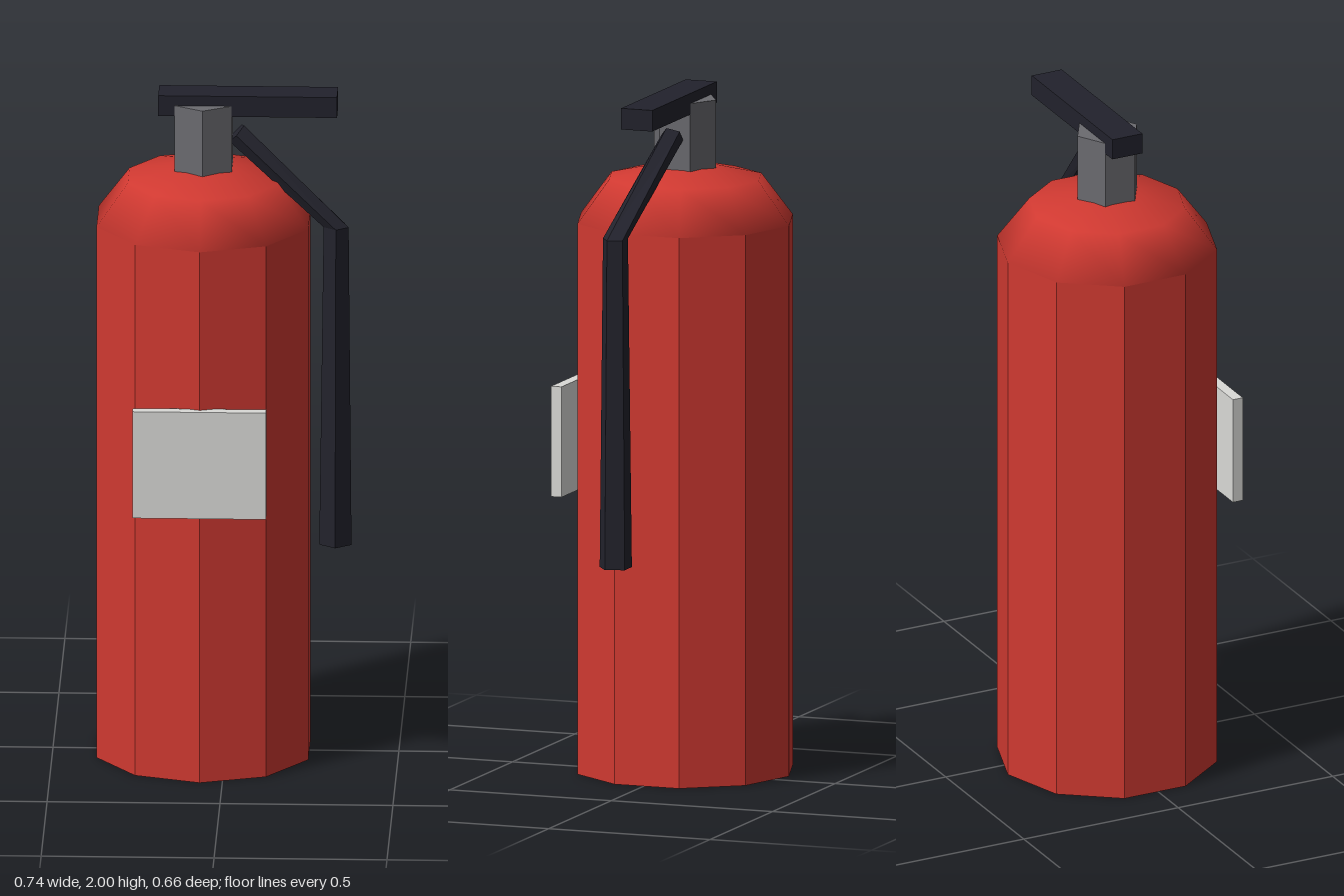
import * as THREE from 'three';

export function createModel() {
  const model = new THREE.Group();
  const mat = (name, color, flatShading = true) => {
    const m = new THREE.MeshStandardMaterial({ color, flatShading });
    m.name = name;
    return m;
  };
  const red = mat('red paint', 0xd03931, false);
  const grey = mat('grey metal', 0x6b6b70);
  const black = mat('black rubber', 0x22222c);
  const white = mat('label white', 0xdadad7);

  const add = (name, geometry, material, x = 0, y = 0, z = 0) => {
    const mesh = new THREE.Mesh(geometry, material);
    mesh.name = name;
    mesh.position.set(x, y, z);
    model.add(mesh);
    return mesh;
  };

  const cx = -0.065, cz = -0.01, radius = 0.322, bodyTop = 1.615;

  // Ten-sided tank; faceted by splitting its vertices so the red stays one material
  const tank = new THREE.CylinderGeometry(radius, radius, bodyTop, 10).toNonIndexed();
  tank.computeVertexNormals();
  add('tank', tank, red, cx, bodyTop / 2, cz);

  // Smooth flattened shoulder, corners aligned with the tank
  const shoulder = new THREE.SphereGeometry(radius, 10, 2, 0, Math.PI * 2, 0, Math.PI / 2);
  shoulder.rotateY(Math.PI / 2).scale(1, 0.55, 1);
  add('shoulder', shoulder, red, cx, bodyTop, cz);

  // Hexagonal valve and the lever on top
  add('valve', new THREE.CylinderGeometry(0.096, 0.096, 0.2, 6), grey, cx, 1.87, cz);
  add('lever', new THREE.BoxGeometry(0.517, 0.062, 0.097), black, 0.064, 1.969, cz);

  // Flat label on the front
  add('label', new THREE.BoxGeometry(0.386, 0.324, 0.032), white, -0.066, 0.972, 0.315);

  // Five-sided hose: rings of [x, y, z, radius, tilt], nozzle end first
  const sides = 5;
  const rings = [
    [0.319, 0.65, 0.057, 0.049, 0],
    [0.321, 1.615, 0.057, 0.038, 0],
    [0.031, 1.876, -0.008, 0.034, 0.84],
  ];
  const pos = [], index = [];
  for (const [x, y, z, r, tilt] of rings) {
    for (let i = 0; i < sides; i++) {
      const a = (i / sides) * Math.PI * 2;
      const u = r * Math.sin(a);
      pos.push(x + u * Math.cos(tilt), y + u * Math.sin(tilt), z + r * Math.cos(a));
    }
  }
  for (let j = 0; j < rings.length - 1; j++) {
    for (let i = 0; i < sides; i++) {
      const a = j * sides + i, b = j * sides + (i + 1) % sides;
      index.push(a, b, b + sides, a, b + sides, a + sides);
    }
  }
  // End caps
  const last = (rings.length - 1) * sides;
  for (let i = 1; i < sides - 1; i++) {
    index.push(0, i + 1, i, last, last + i, last + i + 1);
  }
  const hose = new THREE.BufferGeometry();
  hose.setAttribute('position', new THREE.Float32BufferAttribute(pos, 3));
  hose.setIndex(index);
  const facetedHose = hose.toNonIndexed();
  facetedHose.computeVertexNormals();
  add('hose', facetedHose, black);

  return model;
}
